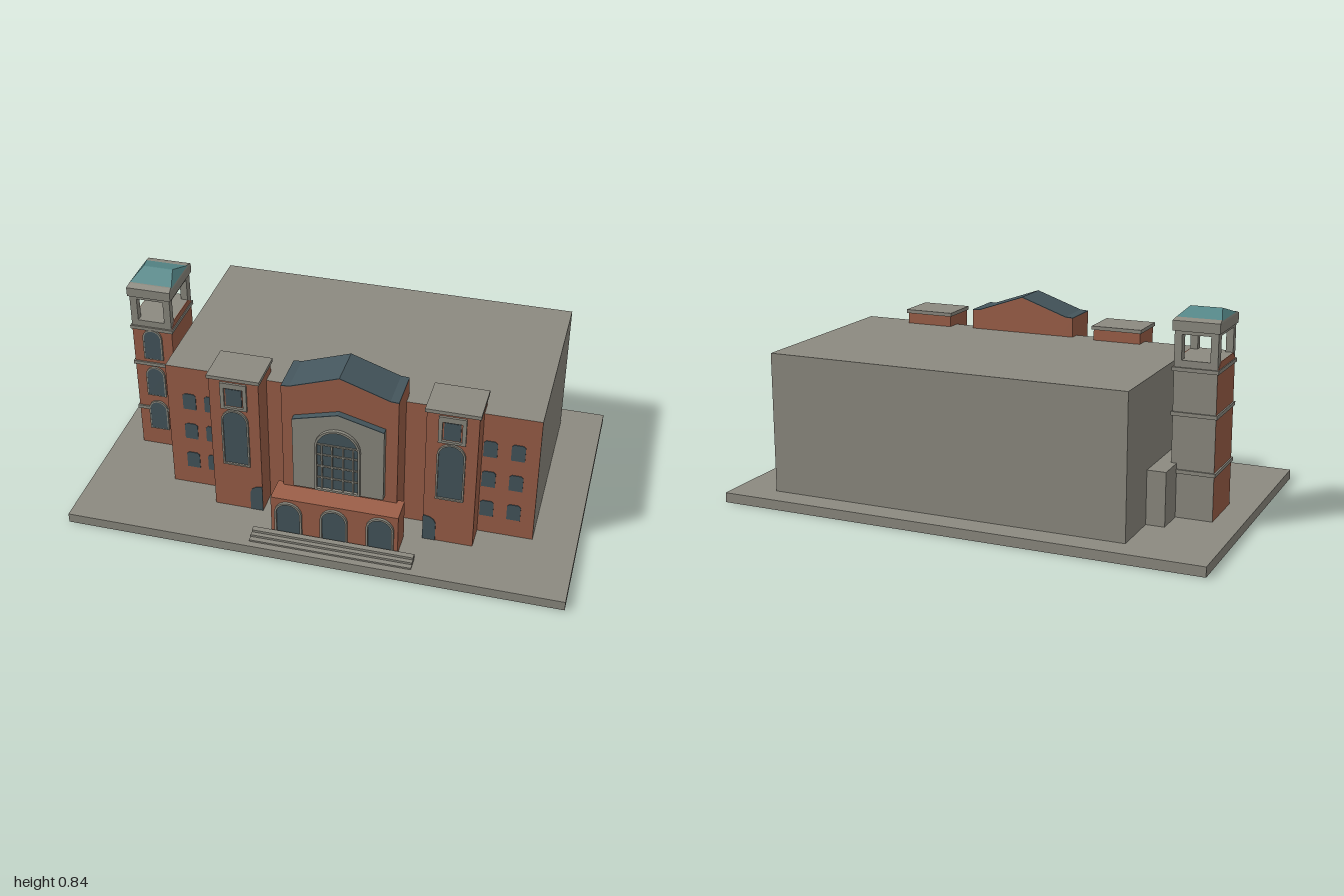
import * as THREE from 'three';

const mat = (name, color) => {
  const m = new THREE.MeshStandardMaterial({ color });
  m.name = name;
  return m;
};

export function createModel() {
  const root = new THREE.Group();
  root.name = 'hall';
  const stone = mat('stone', 0x8c8a80);
  const brick = mat('brick', 0x9c5f48);
  const slate = mat('slate', 0x45565d);
  const copper = mat('copper', 0x568889);

  const add = (name, geo, material) => {
    const m = new THREE.Mesh(geo, material);
    m.name = name;
    root.add(m);
    return m;
  };
  // box from its minimum and maximum on each axis
  const box = (name, x0, x1, y0, y1, z0, z1, material) => {
    const g = new THREE.BoxGeometry(x1 - x0, y1 - y0, z1 - z0);
    g.translate((x0 + x1) / 2, (y0 + y1) / 2, (z0 + z1) / 2);
    return add(name, g, material);
  };
  const poly = (pts) => new THREE.Shape(pts.map(([x, y]) => new THREE.Vector2(x, y)));
  const slab = (name, shape, z0, z1, material) => {
    const g = new THREE.ExtrudeGeometry(shape, { depth: z1 - z0, bevelEnabled: false, curveSegments: 10 });
    g.translate(0, 0, z0);
    return add(name, g, material);
  };
  // round-headed outline
  const arch = (cx, hw, y0, y1, Kind = THREE.Shape) => {
    const s = new Kind();
    s.moveTo(cx - hw, y0);
    s.lineTo(cx + hw, y0);
    s.lineTo(cx + hw, y1 - hw);
    s.absarc(cx, y1 - hw, hw, 0, Math.PI, false);
    s.lineTo(cx - hw, y0);
    return s;
  };
  // arched surround with a thin pane set in it
  const archWindow = (name, cx, hw, y0, y1, z0, z1, rim, sill = rim) => {
    const s = arch(cx, hw, y0, y1);
    s.holes.push(arch(cx, hw - rim, y0 + sill, y1 - rim, THREE.Path));
    slab(name + 'Surround', s, z0, z1, stone);
    slab(name + 'Pane', arch(cx, hw - rim, y0 + sill, y1 - rim), z0, z0 + 0.003, slate);
  };
  // four-sided tapering solid between two rectangles [x0, x1, z0, z1]
  const taper = (name, a, ya, b, yb, material) => {
    const g = new THREE.BoxGeometry(1, 1, 1);
    const p = g.attributes.position;
    for (let i = 0; i < p.count; i++) {
      const up = p.getY(i) > 0, r = up ? b : a;
      p.setXYZ(i, p.getX(i) < 0 ? r[0] : r[1], up ? yb : ya, p.getZ(i) < 0 ? r[2] : r[3]);
    }
    const flat = g.toNonIndexed();
    flat.computeVertexNormals();
    return add(name, flat, material);
  };
  const C = 0.077; // middle axis of the facade

  // ground slab and main block, brick on the front only
  const frontBrick = [stone, stone, stone, stone, brick, stone];
  box('groundSlab', -1, 1, 0, 0.04, -0.612, 0.612, stone);
  box('mainBlock', -0.665, 0.825, 0.04, 0.61, -0.51, 0.29, frontBrick);
  box('linkBlock', -0.74, -0.665, 0.04, 0.255, -0.285, 0.06, frontBrick);

  // small wing windows
  for (const x of [-0.574, -0.484, 0.636, 0.743])
    for (const y of [0.123, 0.268, 0.413])
      slab('wingWindow', poly([[x - 0.027, y], [x + 0.027, y], [x + 0.027, y + 0.065],
        [x + 0.018, y + 0.074], [x - 0.018, y + 0.074], [x - 0.027, y + 0.065]]), 0.289, 0.293, slate);

  // projecting bays on both sides
  for (const s of [-1, 1]) {
    const x = C + s * 0.427;
    box('bay', x - 0.1, x + 0.1, 0.04, 0.655, 0.23, 0.39, brick);
    box('bayCap', x - 0.106, x + 0.106, 0.655, 0.67, 0.222, 0.397, stone);
    archWindow('bayWindow', x, 0.055, 0.255, 0.52, 0.389, 0.399, 0.007);
    const frame = poly([[x - 0.053, 0.525], [x + 0.053, 0.525], [x + 0.053, 0.645], [x - 0.053, 0.645]]);
    frame.holes.push(poly([[x - 0.038, 0.535], [x + 0.038, 0.535], [x + 0.038, 0.622], [x - 0.038, 0.622]]));
    slab('bayUpperFrame', frame, 0.389, 0.399, stone);
    box('bayUpperPane', x - 0.032, x + 0.032, 0.54, 0.617, 0.389, 0.394, slate);
    // half-arched door by the inner edge
    const inner = C + s * 0.327, outer = C + s * 0.378;
    const door = [[inner, 0.041], [outer, 0.041], [outer, 0.125], [outer - s * 0.008, 0.143],
      [outer - s * 0.024, 0.154], [inner, 0.16]];
    slab('sideDoor', poly(door), 0.389, 0.393, slate);
  }

  // gabled centre with slate roof
  const gable = [[-0.228, 0.688], [-0.195, 0.69], [0, 0.758], [0.195, 0.69], [0.228, 0.688]].map(([x, y]) => [C + x, y]);
  const sheet = (line, t) => poly([...line, ...line.map(([x, y]) => [x, y + t]).reverse()]);
  slab('centreGable', poly([[C - 0.228, 0.04], ...gable, [C + 0.228, 0.04]]), 0.245, 0.418, brick);
  slab('centreRoof', sheet(gable, 0.003), 0.245, 0.418, slate);

  // stone window panel with its own little roof
  const hood = [[C - 0.18, 0.56], [C, 0.609], [C + 0.18, 0.56]];
  slab('windowPanel', poly([[C - 0.18, 0.243], ...hood, [C + 0.18, 0.243]]), 0.41, 0.445, stone);
  slab('panelRoof', sheet(hood, 0.003), 0.418, 0.445, slate);

  // great window and its bars
  archWindow('greatWindow', C, 0.09, 0.25, 0.545, 0.444, 0.459, 0.009);
  for (const dx of [-0.062, -0.022, 0.022, 0.062])
    box('windowUpright', C + dx - 0.003, C + dx + 0.003, 0.259, 0.468, 0.445, 0.454, stone);
  for (const y of [0.31, 0.365, 0.42, 0.468])
    box('windowCrossbar', C - 0.081, C + 0.081, y - 0.003, y + 0.003, 0.445, 0.453, stone);

  // porch, doors and steps
  box('porch', C - 0.255, C + 0.255, 0.04, 0.217, 0.4, 0.507, brick);
  for (const dx of [-0.184, 0, 0.184])
    archWindow('porchArch', C + dx, 0.055, 0.04, 0.205, 0.506, 0.518, 0.008, 0.005);
  box('topStep', C - 0.325, C + 0.325, 0.04, 0.066, 0.522, 0.545, stone);
  box('middleStep', C - 0.325, C + 0.325, 0.04, 0.056, 0.545, 0.563, stone);
  box('lowStep', C - 0.325, C + 0.325, 0.04, 0.047, 0.563, 0.584, stone);

  // bell tower, plain stone at the back
  const [tx0, tx1, tz0, tz1] = [-0.887, -0.718, -0.158, 0.075];
  const tx = (tx0 + tx1) / 2;
  box('towerShaft', tx0, tx1, 0.04, 0.615, tz0, tz1, [brick, brick, stone, stone, brick, stone]);
  for (const y of [0.217, 0.442, 0.614])
    box('towerBand', tx0 - 0.006, tx1 + 0.006, y, y + 0.015, tz0 - 0.007, tz1 + 0.007, stone);
  for (const y of [0.123, 0.294, 0.476]) {
    const s = arch(tx, 0.041, y, y + 0.142);
    s.holes.push(arch(tx, 0.035, y + 0.004, y + 0.136, THREE.Path));
    slab('towerWindowRim', s, tz1, tz1 + 0.009, stone);
    slab('towerWindow', arch(tx, 0.035, y + 0.004, y + 0.136), tz1, tz1 + 0.0085, slate);
  }

  // open belfry
  box('belfryFloor', tx0, tx1, 0.629, 0.656, tz0, tz1, stone);
  for (const [x0, x1] of [[tx0, -0.858], [-0.747, tx1]])
    for (const [z0, z1] of [[tz0, -0.12], [0.045, tz1]])
      box('belfryPost', x0, x1, 0.656, 0.767, z0, z1, stone);
  box('belfryLintel', tx0, tx1, 0.754, 0.768, tz0, 0.045 - 0.165, stone);
  box('belfryLintel', tx0, tx1, 0.754, 0.768, 0.045, tz1, stone);
  for (const [x0, x1] of [[tx0, -0.858], [-0.747, tx1]])
    box('belfryLintel', x0, x1, 0.754, 0.768, -0.12, 0.045, stone);
  // sloping brick sills on both flanks
  for (const x of [tx0, tx1]) {
    const sill = slab('belfrySill', poly([[-tz1, 0.629], [-tz0, 0.629], [0.12, 0.656], [-0.045, 0.656]]), -0.002, 0.002, brick);
    sill.rotation.y = Math.PI / 2;
    sill.position.x = x;
  }
  box('belfryCap', -0.894, -0.711, 0.767, 0.806, -0.165, 0.082, stone);
  taper('roofSkirt', [-0.894, -0.711, -0.165, 0.082], 0.806, [-0.89, -0.715, -0.137, 0.055], 0.814, stone);
  taper('towerRoof', [-0.892, -0.713, -0.137, 0.055], 0.812, [-0.865, -0.74, -0.043, -0.039], 0.842, copper);

  return root;
}
